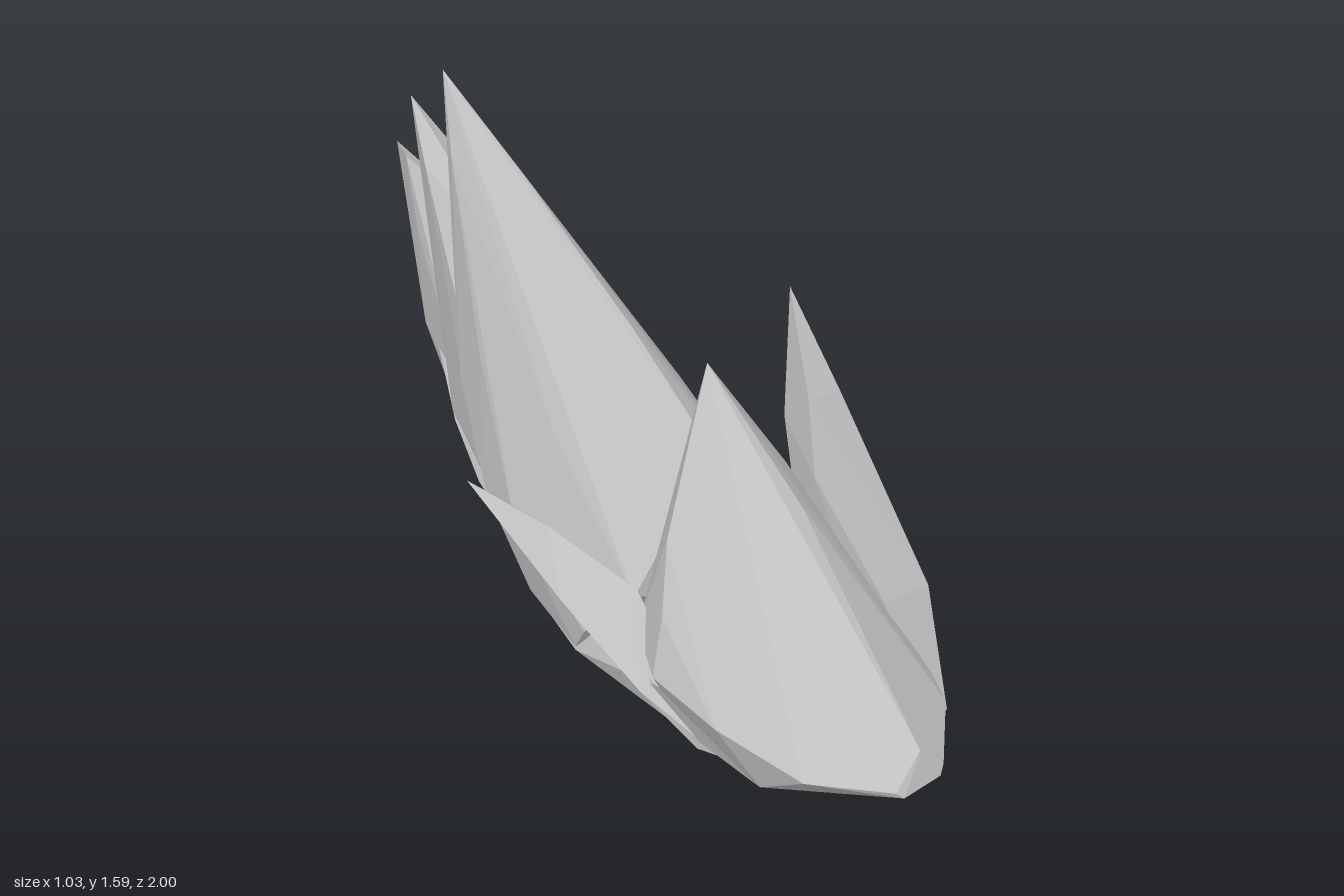
import * as THREE from 'three';
import { ConvexGeometry } from 'three/addons/geometries/ConvexGeometry.js';

const stone = new THREE.MeshStandardMaterial({ color: 0xc4c4c4, flatShading: true });
stone.name = 'grey stone';

// Each part is a faceted convex block spanned by its corners.
const parts = {
  // Underside in two blocks that sweep up towards the back and close the gaps between spires
  frontKeel: [
    [.25, .17, .5], [.29, .15, .3], [.31, .2, .1], [.3, .28, -.1], [.19, .38, -.24], // left rim
    [-.39, .22, .42], [-.4, .16, .1], [-.38, .22, -.08], [-.34, .33, -.24], // right rim
    [.2, .03, .75], [-.3, .025, .68], [.1, .04, .3], [-.3, .04, .25], [.05, .06, 0], [-.27, .06, 0], [.03, .1, -.16], [-.24, .1, -.16]
  ],
  rearKeel: [
    [.27, .3, -.13], [.19, .39, -.25], [.15, .45, -.45], [.09, .54, -.63], [.02, .6, -.8],
    [-.34, .3, -.2], [-.29, .37, -.45], [-.24, .47, -.62], [-.16, .62, -.8],
    [.03, .14, -.22], [-.24, .14, -.22], [.02, .2, -.36], [-.2, .2, -.36], [.02, .36, -.6], [-.18, .36, -.6], [-.03, .5, -.78], [-.15, .5, -.78]
  ],
  frontSpire: [
    [-.11, .99, .28], [-.03, .67, .54], [-.03, .17, .98], // tip and ridge
    [-.12, .09, .99], [.05, .09, .99], [-.1, .07, 1], [.03, .07, 1], // blunt nose
    [-.31, .6, .36], [-.37, .42, .41], [-.41, .26, .42], [-.38, .2, .62], [-.29, .12, .84], [-.2, .4, .63], // right flank
    [.16, .6, .29], [.2, .4, .44], [.25, .26, .45], [.26, .13, .75], [.22, .11, .84], [.1, .4, .64], // left flank
    [-.06, .68, .23], [-.34, .3, .28], // back
    [-.3, .025, .7], [.2, .025, .75], [-.3, .03, .45], [.12, .03, .35], [-.08, .03, .87] // underside
  ],
  mainSpire: [
    [-.33, 1.59, -.46], [-.24, 1.35, -.27], [-.13, .99, .02], [-.06, .7, .25], // tip and ridge
    [-.36, 1.38, -.4], [-.41, .9, -.25], [-.37, .76, 0], [-.45, .5, -.08], [-.43, .5, -.22], [-.41, .25, .15], [-.35, .4, .28], // right flank
    [-.08, 1.08, -.23], [.18, .66, -.15], [.09, .55, .25], [.29, .17, .28], [.32, .26, .1], [.31, .32, -.08], [.2, .37, -.24], // left flank
    [-.13, .95, -.37], [-.39, .78, -.37], [-.34, .33, -.25], // back
    [-.4, .17, .1], [-.39, .24, -.1], [.05, .08, 0], [-.25, .08, 0] // underside
  ],
  rearSpire: [
    [-.24, 1.41, -.74], [-.2, 1.19, -.56], [-.18, 1, -.37],
    [.03, .91, -.65], [.08, .8, -.45], [.18, .6, -.27], [.2, .4, -.25], [.155, .48, -.47], [.09, .62, -.64], // left flank
    [-.27, 1.25, -.65], [-.29, .8, -.5], [-.3, .45, -.44], [-.34, .34, -.25], [-.24, .5, -.63], // right flank
    [.03, .25, -.36], [-.18, .25, -.36]
  ],
  tailSpire: [
    [-.12, 1.16, -1], [-.16, 1.16, -.9], [-.03, 1, -.93], [.04, .85, -.8],
    [-.1, 1.04, -.74], [-.01, .96, -.68], [.09, .7, -.64], [.1, .57, -.62], [.03, .63, -.8],
    [-.17, .95, -.85], [-.18, .8, -.76], [-.07, .65, -.89], [-.15, .65, -.87],
    [-.02, .5, -.78], [-.15, .5, -.78], [.02, .37, -.6], [-.2, .45, -.6]
  ],
  leftShard: [
    [.515, .85, -.07], [.45, .66, .2], [.4, .26, .6], [.3, .005, .78], [.25, 0, .79], [.2, .02, .67],
    [.29, .71, .24], [.16, .6, .4], [.19, .32, .64], [.17, .45, .33], [.28, .38, .31], [.32, .6, .12]
  ],
  rightShard: [
    [-.52, .6, -.18], [-.48, .38, .15], [-.42, .2, .38], [-.33, .04, .5], [-.27, .015, .52],
    [-.46, .55, -.1], [-.44, .54, .05], [-.34, .42, .28], [-.42, .35, .05], [-.3, .03, .55]
  ]
};

export function createModel() {
  const group = new THREE.Group();
  group.name = 'jaggedRock';
  for (const [name, corners] of Object.entries(parts)) {
    const geometry = new ConvexGeometry(corners.map(c => new THREE.Vector3(...c)));
    const mesh = new THREE.Mesh(geometry, stone);
    mesh.name = name;
    group.add(mesh);
  }
  return group;
}
